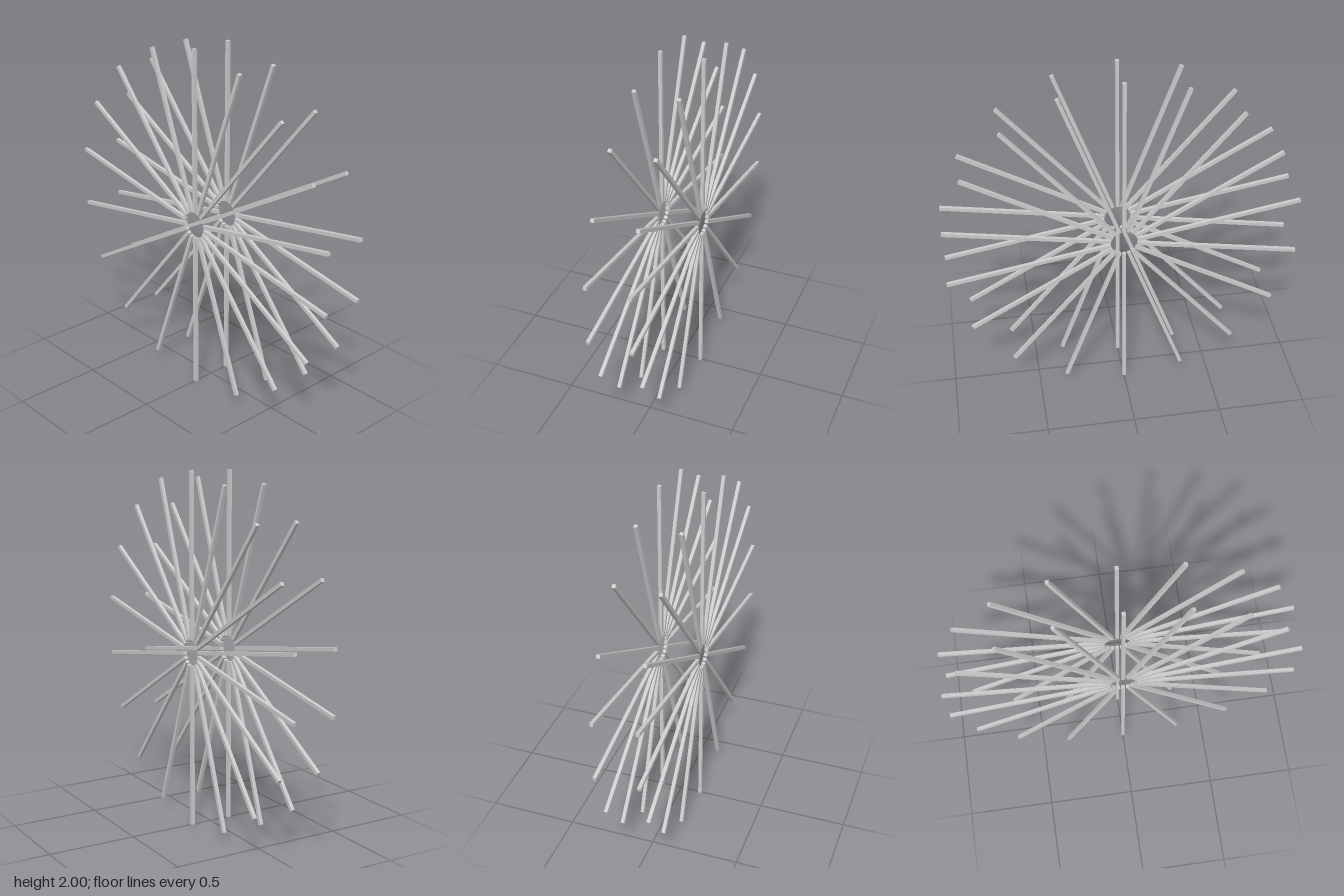
import * as THREE from 'three';

const SPOKES = 18;
const INNER = 0.075;
const OUTER = 1;
const ROD_WIDTH = 0.02;
const WHEEL_OFFSET = 0.12;

export function createModel() {
  const model = new THREE.Group();
  model.name = 'spokeWheelPair';
  const material = new THREE.MeshStandardMaterial({ color: 0xcccccc });

  // One square bar, shifted out along its axis to leave the hub open
  const rod = new THREE.BoxGeometry(ROD_WIDTH, OUTER - INNER, ROD_WIDTH);
  rod.translate(0, (OUTER + INNER) / 2, 0);

  // Ring of evenly spaced spokes around the z axis
  function makeWheel(name, z) {
    const wheel = new THREE.Group();
    wheel.name = name;
    wheel.position.set(0, 1, z);
    for (let i = 0; i < SPOKES; i++) {
      const spoke = new THREE.Mesh(rod, material);
      spoke.name = 'spoke';
      spoke.rotation.z = (i / SPOKES) * Math.PI * 2;
      wheel.add(spoke);
    }
    return wheel;
  }

  model.add(makeWheel('frontSpokes', WHEEL_OFFSET), makeWheel('backSpokes', -WHEEL_OFFSET));
  return model;
}
